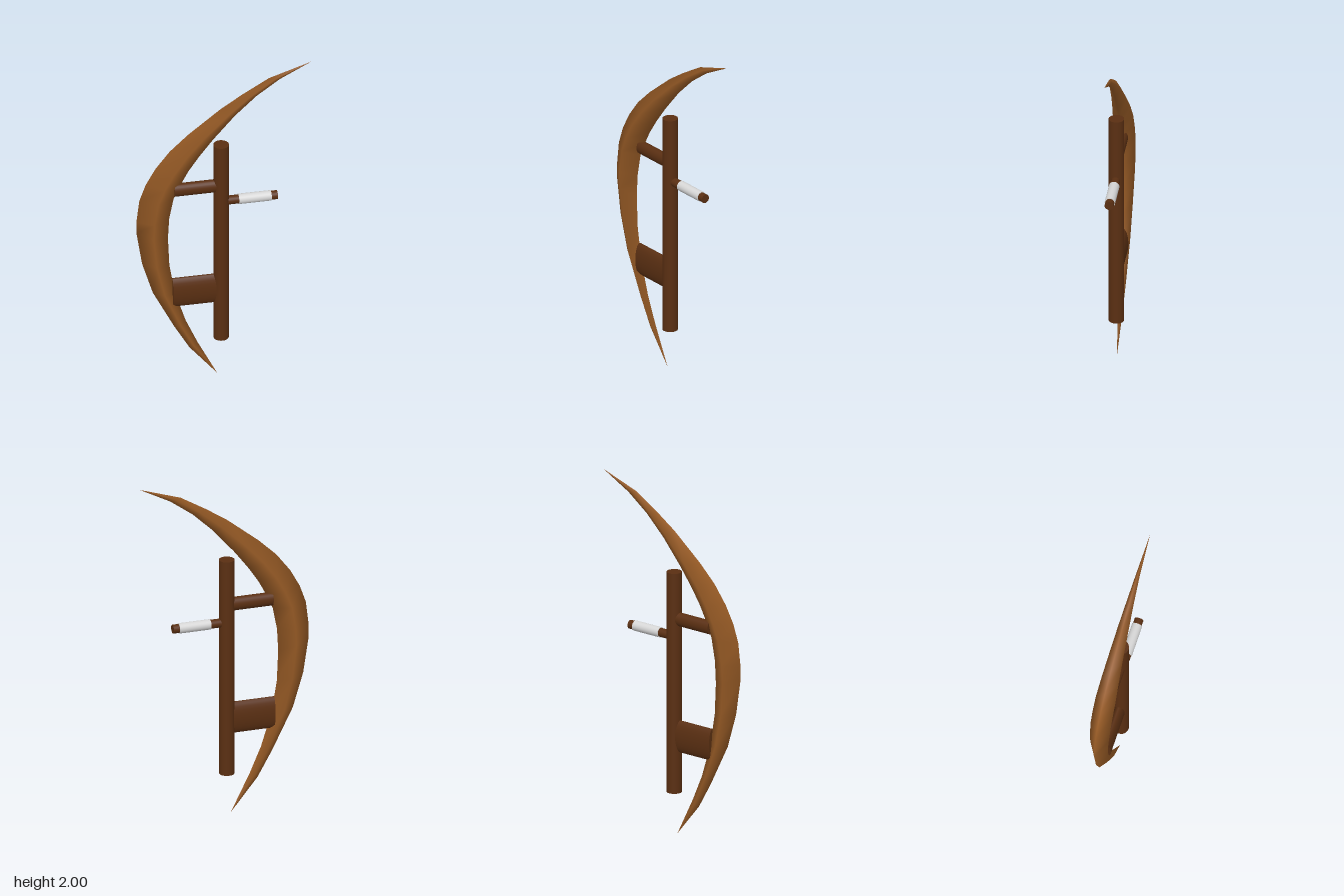
import * as THREE from 'three';

const bladeWood = new THREE.MeshStandardMaterial({ color: 0x965a25, name: 'bladeWood' });
const darkWood = new THREE.MeshStandardMaterial({ color: 0x5a2f12, name: 'darkWood' });
const gripWhite = new THREE.MeshStandardMaterial({ color: 0xd6d6d6, name: 'gripWhite' });

// Each section: outer edge x, y, inner edge x, y, half thickness
const sections = [
  [-0.04, 0, -0.04, 0, 0],
  [-0.195, 0.19, -0.15, 0.22, 0.014],
  [-0.28, 0.34, -0.215, 0.37, 0.023],
  [-0.40, 0.58, -0.275, 0.56, 0.034],
  [-0.46, 0.78, -0.307, 0.75, 0.042],
  [-0.492, 0.99, -0.315, 0.93, 0.051],
  [-0.492, 1.06, -0.308, 1.06, 0.055],
  [-0.475, 1.20, -0.283, 1.19, 0.058],
  [-0.44, 1.30, -0.245, 1.275, 0.058],
  [-0.385, 1.40, -0.20, 1.36, 0.057],
  [-0.305, 1.505, -0.14, 1.45, 0.051],
  [-0.20, 1.605, -0.06, 1.555, 0.043],
  [-0.02, 1.75, 0.06, 1.695, 0.031],
  [0.10, 1.83, 0.18, 1.81, 0.021],
  [0.25, 1.92, 0.31, 1.905, 0.011],
  [0.49, 2.0, 0.49, 2.0, 0],
];

// Crescent with a diamond section, smoothed across its ridges
function crescentGeometry() {
  const points = [], index = [];
  sections.forEach(([ox, oy, ix, iy, w], i) => {
    const mx = (ox + ix) / 2, my = (oy + iy) / 2;
    points.push(ox, oy, 0, mx, my, w, ix, iy, 0, mx, my, -w);
    if (i === sections.length - 1) return;
    for (let k = 0; k < 4; k++) {
      const a = i * 4 + k, b = i * 4 + (k + 1) % 4;
      index.push(a, b, b + 4, a, b + 4, a + 4);
    }
  });
  const geometry = new THREE.BufferGeometry();
  geometry.setAttribute('position', new THREE.Float32BufferAttribute(points, 3));
  geometry.setIndex(index);
  geometry.computeVertexNormals();
  return geometry;
}

export function createModel() {
  const model = new THREE.Group();
  const add = (name, geometry, material) => {
    const mesh = new THREE.Mesh(geometry, material);
    mesh.name = name;
    model.add(mesh);
    return mesh;
  };

  // Horizontal rod from x0 to x1, with an oval section
  const rod = (name, x0, x1, y, ry, rz, material) => {
    const geometry = new THREE.CylinderGeometry(1, 1, x1 - x0, 24);
    geometry.rotateZ(Math.PI / 2).scale(1, ry, rz);
    add(name, geometry, material).position.set((x0 + x1) / 2, y, 0);
  };

  add('blade', crescentGeometry(), bladeWood);

  // Upright pole
  add('pole', new THREE.CylinderGeometry(0.043, 0.043, 1.276, 24), darkWood)
    .position.set(-0.017, 0.876, 0);

  // Struts joining the pole to the blade
  rod('upperStrut', -0.28, -0.02, 1.245, 0.039, 0.03, darkWood);
  rod('lowerStrut', -0.29, -0.02, 0.567, 0.093, 0.03, darkWood);

  // Side handle with a pale wrap
  rod('handle', 0, 0.297, 1.14, 0.025, 0.025, darkWood);
  rod('handleGrip', 0.08, 0.262, 1.14, 0.029, 0.029, gripWhite);

  return model;
}
